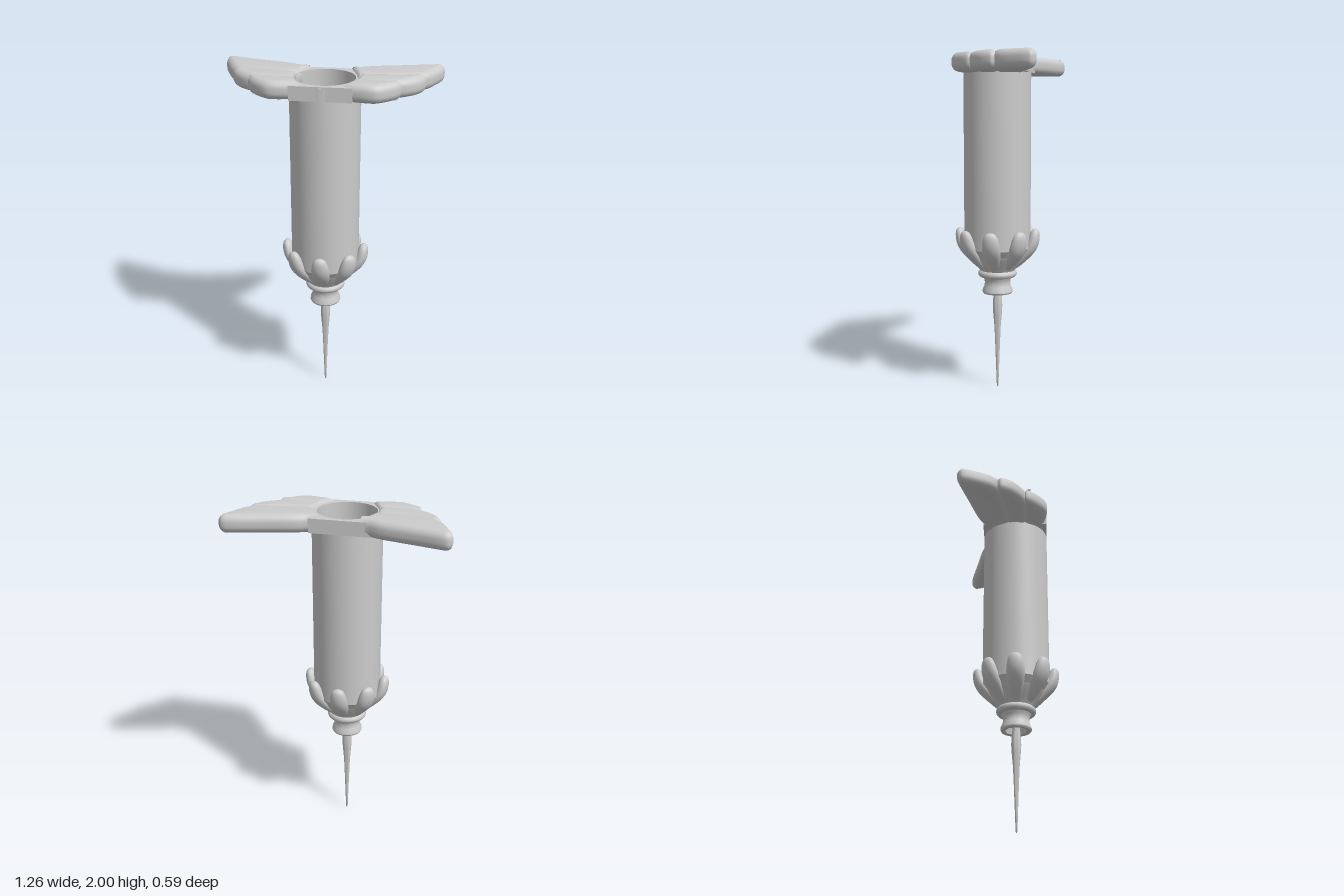
import * as THREE from 'three';
import { toCreasedNormals } from 'three/addons/utils/BufferGeometryUtils.js';

const AXIS_X = -0.008, AXIS_Z = 0.026;
const material = new THREE.MeshStandardMaterial({ color: 0xcccccc });
const v2 = ([x, y]) => new THREE.Vector2(x, y);

function add(parent, name, geometry) {
  const mesh = new THREE.Mesh(geometry, material);
  mesh.name = name;
  parent.add(mesh);
  return mesh;
}

// Turned part, profile listed from bottom to top along the outside
function turned(profile, crease = 0.6, segments = 48) {
  return toCreasedNormals(new THREE.LatheGeometry(profile.map(v2), segments), crease);
}

// Shape drawn in x/z, extruded downwards from the given top height
function slab(shape, top, height, bevel) {
  const geometry = new THREE.ExtrudeGeometry(shape, {
    depth: height - 2 * bevel, bevelEnabled: bevel > 0, bevelThickness: bevel,
    bevelSize: bevel, bevelOffset: -bevel, bevelSegments: 6, curveSegments: 48,
  });
  geometry.rotateX(Math.PI / 2).translate(0, top - bevel, 0);
  return toCreasedNormals(geometry, 0.7);
}

// Rounded feather: straight inner end, curved outer outline
function feather(inner, outer, side) {
  const p = ([x, z]) => new THREE.Vector2(x * side, z);
  const shape = new THREE.Shape();
  const start = p(inner[0]);
  shape.moveTo(start.x, start.y);
  const curve = new THREE.SplineCurve([...outer, inner[1]].map(p));
  curve.getPoints(30).forEach((q) => shape.lineTo(q.x, q.y));
  shape.closePath();
  return slab(shape, 2, 0.105, 0.042);
}

// Petal: a sphere stretched along a curved spine leaning outwards (+z)
function petalGeometry() {
  const spine = new THREE.SplineCurve([[0.09, 0.74], [0.15, 0.81], [0.208, 0.89], [0.232, 0.985]].map(v2));
  const geometry = new THREE.SphereGeometry(1, 20, 24);
  const pos = geometry.attributes.position;
  for (let i = 0; i < pos.count; i++) {
    const t = THREE.MathUtils.clamp((pos.getY(i) + 1) / 2, 0, 1);
    const c = spine.getPoint(t), d = spine.getTangent(t);
    const swell = 0.6 + 0.5 * t;
    const thick = pos.getZ(i) * 0.042 * swell;
    pos.setXYZ(i, pos.getX(i) * 0.06 * swell, c.y - d.x * thick, c.x + d.y * thick);
  }
  geometry.computeVertexNormals();
  return geometry;
}

export function createModel() {
  const model = new THREE.Group();
  model.name = 'wingedSyringe';

  const body = new THREE.Group();
  body.name = 'body';
  body.position.set(AXIS_X, 0, AXIS_Z);
  model.add(body);

  // Barrel with a shallow recess at the top
  add(body, 'barrel', turned([
    [0, 0.83], [0.17, 0.83], [0.198, 0.87], [0.198, 1.975], [0.168, 1.975], [0.168, 1.85], [0, 1.85],
  ], 0.6, 64));

  // Cup below the barrel
  add(body, 'cup', turned([
    [0, 0.71], [0.1, 0.725], [0.125, 0.765], [0.16, 0.81], [0.185, 0.86], [0.19, 0.9], [0, 0.9],
  ]));

  // Collar ring and flared hub with a hollow underside
  const collar = new THREE.TorusGeometry(0.095, 0.022, 12, 48);
  collar.rotateX(Math.PI / 2).translate(0, 0.712, 0);
  add(body, 'collar', collar);
  add(body, 'hub', turned([
    [0, 0.63], [0.055, 0.63], [0.062, 0.593], [0.086, 0.591], [0.091, 0.6], [0.089, 0.615],
    [0.08, 0.635], [0.076, 0.655], [0.079, 0.675], [0.09, 0.695], [0.1, 0.715], [0, 0.72],
  ]));

  // Needle, swelling a little below the hub
  add(body, 'needle', turned([
    [0, 0], [0.005, 0.008], [0.009, 0.12], [0.014, 0.26], [0.019, 0.38], [0.026, 0.46],
    [0.029, 0.51], [0.026, 0.56], [0.022, 0.6], [0.02, 0.64],
  ], 1, 24));

  // Ring of petals
  const petal = petalGeometry();
  for (let i = 0; i < 8; i++) {
    add(body, 'petal', petal).rotation.y = (i * Math.PI) / 4;
  }

  // Flange plate around the opening
  const plate = new THREE.Shape([[-0.17, -0.198], [0.17, -0.198], [0.17, 0.196], [-0.17, 0.196]].map(v2));
  plate.holes.push(new THREE.Path().absarc(0, 0, 0.168, 0, Math.PI * 2, true));
  add(body, 'flangePlate', slab(plate, 1.98, 0.08, 0));

  // Wings of three feathers, mirrored
  const feathers = {
    upperFeather: [
      [[0.17, 0.005], [0.11, -0.168]],
      [[0.24, 0], [0.40, -0.022], [0.535, -0.068], [0.6, -0.18], [0.629, -0.26], [0.618, -0.285],
        [0.58, -0.294], [0.4, -0.247], [0.235, -0.204], [0.16, -0.172]],
    ],
    middleFeather: [
      [[0.167, 0.105], [0.175, -0.03]],
      [[0.28, 0.108], [0.4, 0.1], [0.495, 0.034], [0.535, -0.035], [0.53, -0.06], [0.5, -0.075], [0.36, -0.05]],
    ],
    lowerFeather: [
      [[0.11, 0.2], [0.17, 0.075]],
      [[0.18, 0.217], [0.25, 0.228], [0.305, 0.22], [0.367, 0.172], [0.412, 0.115], [0.4, 0.09], [0.3, 0.08]],
    ],
  };
  const wings = new THREE.Group();
  wings.name = 'wings';
  wings.position.x = -0.002;
  wings.rotation.y = -0.015;
  model.add(wings);
  for (const side of [1, -1]) {
    const wing = new THREE.Group();
    wing.name = side > 0 ? 'leftWing' : 'rightWing';
    wings.add(wing);
    for (const [name, [inner, outer]] of Object.entries(feathers)) {
      add(wing, name, feather(inner, outer, side));
    }
  }
  return model;
}
